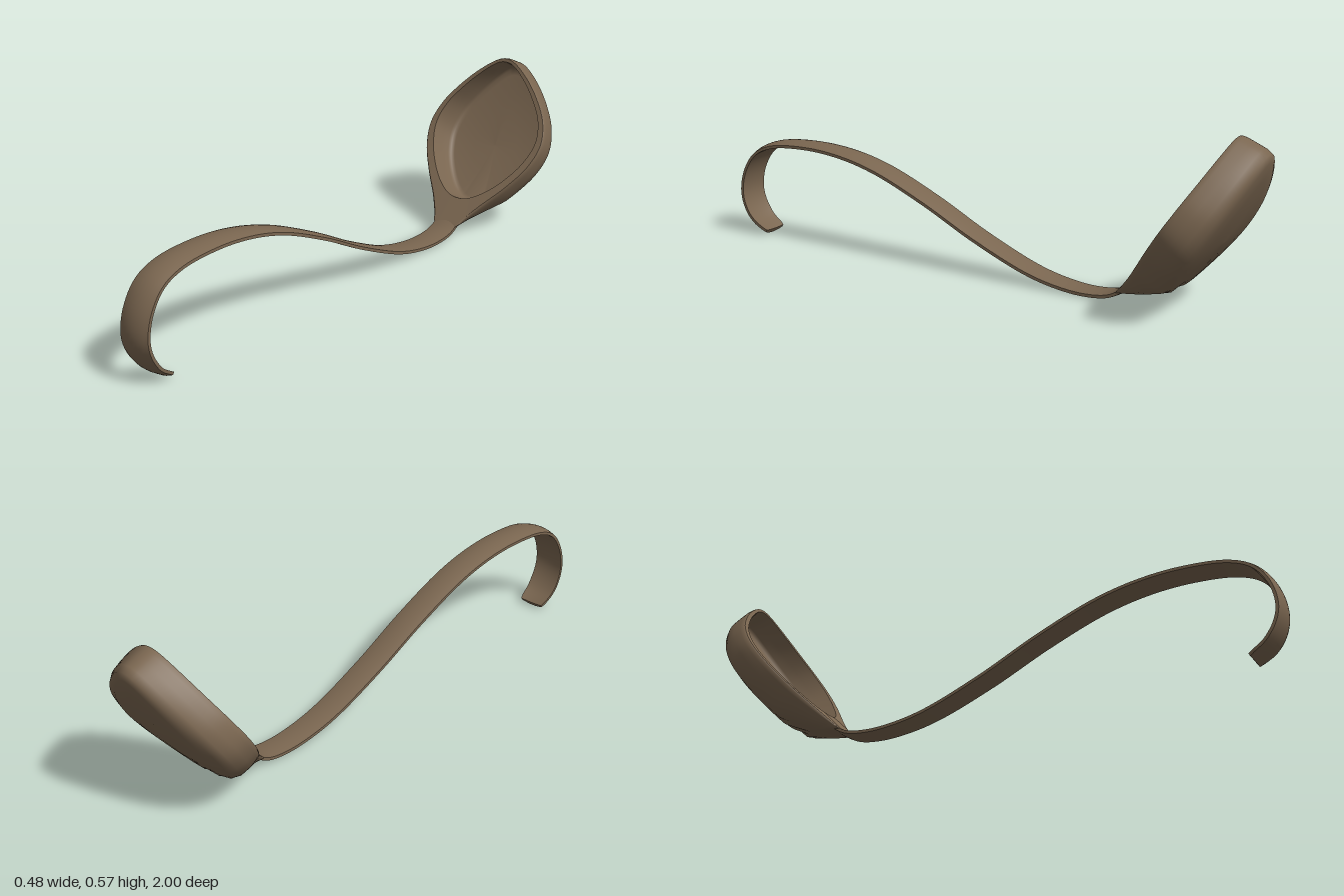
import * as THREE from 'three';
import { toCreasedNormals } from 'three/addons/utils/BufferGeometryUtils.js';

// Skin a sequence of closed loops of Vector3
function loft(loops) {
  const n = loops[0].length;
  const index = [];
  for (let i = 0; i < loops.length - 1; i++) {
    for (let j = 0; j < n; j++) {
      const k = (j + 1) % n;
      const a = i * n + j, b = i * n + k, c = a + n, d = b + n;
      index.push(a, b, d, a, d, c);
    }
  }
  const geo = new THREE.BufferGeometry().setFromPoints(loops.flat());
  geo.setIndex(index);
  geo.computeVertexNormals();
  return geo;
}

// Mirror half an outline (bottom to tip) and smooth it into a closed loop
function outline(half) {
  const pts = half.map(([x, y]) => new THREE.Vector3(x, y, 0));
  const mirrored = half.slice(1, -1).reverse().map(([x, y]) => new THREE.Vector3(-x, y, 0));
  return new THREE.CatmullRomCurve3([...pts, ...mirrored], true).getPoints(132).slice(0, -1);
}

// Place a point on the curved rim surface, then sink it by depth towards the back
function sink(x, y, depth) {
  const z = -0.525 - 0.865 * (y - 0.04) + 0.619 * (y - 0.04) * (y - 0.3);
  const slope = -0.865 + 0.619 * (2 * y - 0.34);
  const shallow = Math.pow(THREE.MathUtils.clamp((y - 0.03) / 0.13, 0.04, 1), 0.8);
  const d = depth * shallow / Math.hypot(1, slope);
  return new THREE.Vector3(x, y + slope * d, z - d);
}

// Ring = outline scaled by [width, tip, neck] and sunk by depth
function ring(line, [kx, kTip, kNeck, depth]) {
  const yc = 0.31;
  return line.map(p => sink(p.x * kx, yc + (p.y - yc) * (p.y > yc ? kTip : kNeck), depth));
}

function createHandle(material) {
  // Side path as [z, y], from the hooked end to the bowl
  const path = new THREE.CatmullRomCurve3([
    [0.89, 0.012], [0.945, 0.05], [0.98, 0.105], [0.99, 0.16], [0.972, 0.235], [0.925, 0.3],
    [0.85, 0.335], [0.7, 0.349], [0.55, 0.338], [0.4, 0.303], [0.2, 0.222], [0, 0.125],
    [-0.2, 0.045], [-0.32, 0.018], [-0.42, 0.011], [-0.5, 0.022], [-0.56, 0.055],
  ].map(([z, y]) => new THREE.Vector3(0, y, z)));

  const loops = [];
  const steps = 120;
  for (let i = 0; i <= steps; i++) {
    const t = i / steps;
    const p = path.getPointAt(t), tan = path.getTangentAt(t);
    const tip = Math.min(1, t / 0.05);
    const half = (0.057 - 0.012 * t) * (0.8 + 0.2 * Math.sqrt(tip));
    const crown = 0.008 * (1 - t);
    const section = [];
    for (const side of [1, -1]) {
      for (let j = 0; j <= 8; j++) {
        const a = side * (j / 4 - 1);
        const off = crown * (0.3 - a * a) + side * (0.009 - 0.004 * a * a);
        section.push(new THREE.Vector3(a * half, p.y - tan.z * off, p.z + tan.y * off));
      }
    }
    // Closed ends
    const cap = section.map(() => p.clone());
    if (i === 0) loops.push(cap);
    loops.push(section);
    if (i === steps) loops.push(cap);
  }
  const mesh = new THREE.Mesh(toCreasedNormals(loft(loops), 0.7), material);
  mesh.name = 'handle';
  return mesh;
}

function createBowl(material) {
  const outer = outline([
    [0, 0.035], [0.045, 0.04], [0.062, 0.062], [0.102, 0.108], [0.17, 0.178], [0.222, 0.25],
    [0.241, 0.32], [0.22, 0.39], [0.17, 0.457], [0.1, 0.523], [0.035, 0.565], [0, 0.573],
  ]);
  const inner = outline([
    [0, 0.118], [0.03, 0.121], [0.06, 0.131], [0.105, 0.158], [0.155, 0.204], [0.196, 0.262],
    [0.214, 0.325], [0.196, 0.39], [0.15, 0.452], [0.087, 0.514], [0.03, 0.554], [0, 0.56],
  ]);
  const rimEdge = [0.985, 0.992, 0.985, 0];
  const parts = {
    // Rounded back, from its centre out to the rim
    bowlBack: [
      [0, 0, 0, 0.124], [0.25, 0.35, 0.25, 0.124], [0.5, 0.7, 0.5, 0.122], [0.72, 0.9, 0.72, 0.118],
      [0.87, 0.975, 0.85, 0.108], [0.96, 0.995, 0.93, 0.085], [1, 1, 0.98, 0.05],
      [1.006, 1.005, 1, 0.018], [1, 1, 1, 0.005], rimEdge,
    ].map(k => ring(outer, k)),
    // Flat lip and neck
    bowlRim: [ring(outer, rimEdge), ring(inner, [1, 1, 1, 0])],
    // Steep inner wall and flat floor
    bowlInside: [
      [1, 1, 1, 0], [0.985, 0.995, 0.985, 0.012], [0.94, 0.985, 0.95, 0.045], [0.89, 0.97, 0.91, 0.078],
      [0.86, 0.95, 0.88, 0.09], [0.8, 0.88, 0.82, 0.095], [0.4, 0.45, 0.4, 0.098], [0, 0, 0, 0.098],
    ].map(k => ring(inner, k)),
  };
  const bowl = new THREE.Group();
  bowl.name = 'bowl';
  for (const [name, loops] of Object.entries(parts)) {
    const mesh = new THREE.Mesh(loft(loops), material);
    mesh.name = name;
    bowl.add(mesh);
  }
  return bowl;
}

export function createModel() {
  const material = new THREE.MeshStandardMaterial({ color: 0x7a6650 });
  material.name = 'brown';
  const ladle = new THREE.Group();
  ladle.name = 'ladle';
  ladle.add(createHandle(material), createBowl(material));
  return ladle;
}
